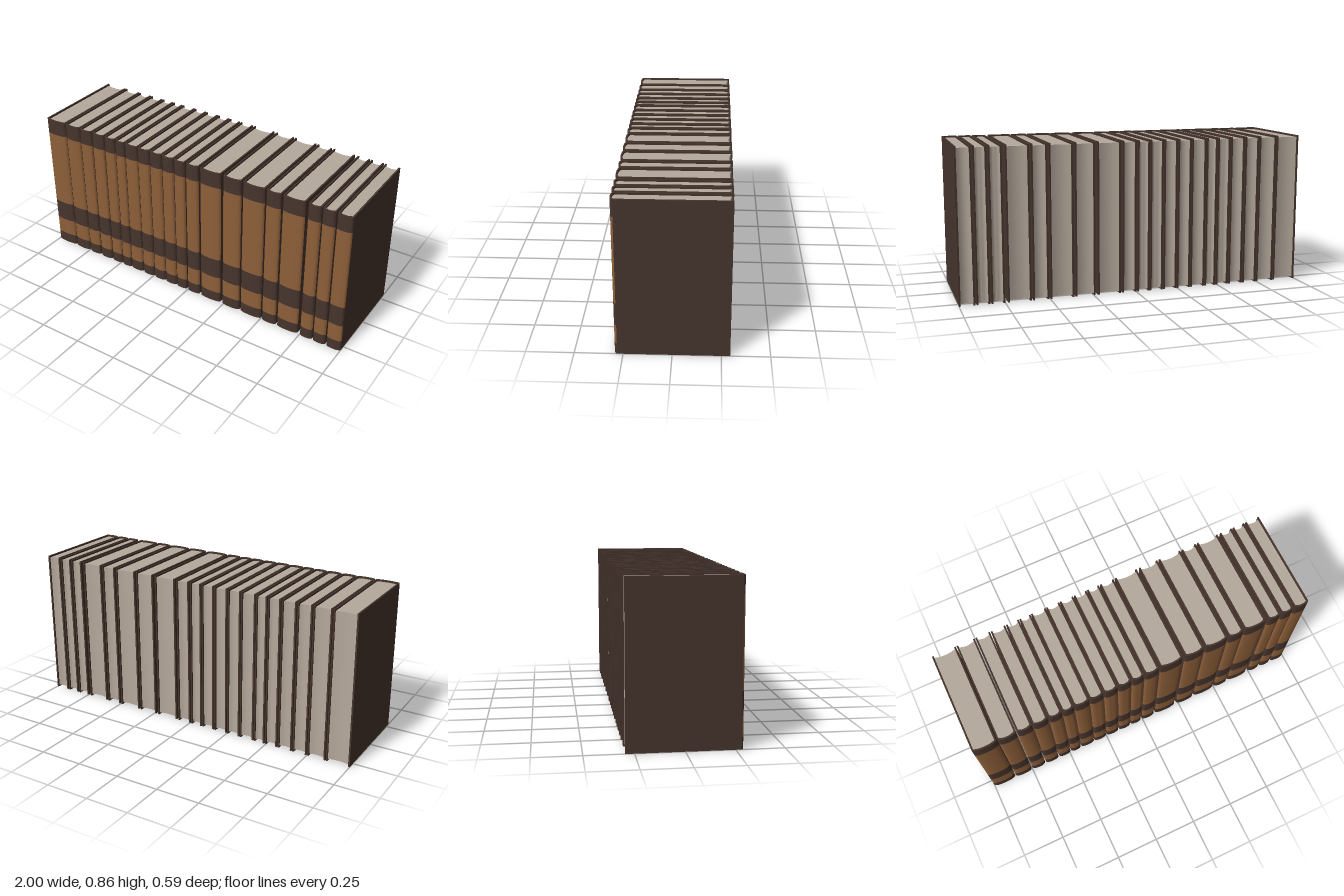
import * as THREE from 'three';
import { toCreasedNormals } from 'three/addons/utils/BufferGeometryUtils.js';

const HEIGHT = 0.862, BOARD = 0.009, BACK = -0.295, HINGE = 0.28, FRONT = 0.295;

// Centre of each gap between neighbouring books, and the gap's width
const EDGES = [-1, -0.86, -0.75, -0.66, -0.57, -0.49, -0.42, -0.33, -0.247, -0.163, -0.082,
  -0.005, 0.086, 0.232, 0.358, 0.501, 0.599, 0.742, 0.828, 0.909, 1];
const GAPS = [0, 0.005, 0.005, 0.006, 0.006, 0.005, 0.004, 0.004, 0.005, 0.005, 0.005,
  0.008, 0.011, 0.015, 0.01, 0.01, 0.01, 0.017, 0.008, 0.008, 0];

// Spine bands, bottom to top: [y0, y1, is leather tan]
const BANDS = [[0, 0.064, false], [0.064, 0.17, true], [0.17, 0.295, false],
  [0.295, 0.77, true], [0.77, HEIGHT, false]];

// Extrude a plan outline (shape y is -z) upwards from y0 to y1
function upright(shape, y0, y1) {
  const g = new THREE.ExtrudeGeometry(shape, { depth: y1 - y0, bevelEnabled: false, curveSegments: 6 });
  g.rotateX(-Math.PI / 2);
  g.translate(0, y0, 0);
  return toCreasedNormals(g, 0.7);
}

// Crescent-shaped plan of a rounded spine, half width w
function spineShape(w) {
  const s = new THREE.Shape(), v = w - BOARD, inner = FRONT - BOARD;
  s.moveTo(-w, -HINGE);
  s.bezierCurveTo(-w, -0.291, -w * 0.5, -FRONT, 0, -FRONT);
  s.bezierCurveTo(w * 0.5, -FRONT, w, -0.291, w, -HINGE);
  s.lineTo(v, -HINGE + 0.004);
  s.quadraticCurveTo(v * 0.6, -inner, 0, -inner);
  s.quadraticCurveTo(-v * 0.6, -inner, -v, -HINGE + 0.004);
  s.closePath();
  return s;
}

// Page block plan: rounded at the spine, hollow at the fore edge
function pageShape(w) {
  const v = w - BOARD, s = new THREE.Shape();
  s.moveTo(-v, -HINGE + 0.004);
  s.quadraticCurveTo(-v * 0.6, -FRONT + BOARD, 0, -FRONT + BOARD);
  s.quadraticCurveTo(v * 0.6, -FRONT + BOARD, v, -HINGE + 0.004);
  s.lineTo(v, 0.287);
  s.quadraticCurveTo(0, 0.268, -v, 0.287);
  s.closePath();
  return s;
}

export function createModel() {
  const mat = (name, color) => {
    const m = new THREE.MeshStandardMaterial({ color });
    m.name = name;
    return m;
  };
  const cover = mat('dark brown cover', 0x46342d);
  const leather = mat('tan leather', 0x8d5f39);
  const paper = mat('paper', 0xb5a99c);

  const row = new THREE.Group();
  row.name = 'bookRow';

  for (let i = 0; i < EDGES.length - 1; i++) {
    const x0 = EDGES[i] + GAPS[i] / 2, x1 = EDGES[i + 1] - GAPS[i + 1] / 2;
    const w = (x1 - x0) / 2;
    const book = new THREE.Group();
    book.name = `book${i + 1}`;
    book.position.x = (x0 + x1) / 2;
    const add = (name, geometry, material) => {
      const m = new THREE.Mesh(geometry, material);
      m.name = name;
      book.add(m);
      return m;
    };

    // Cover boards on both sides
    for (const side of [-1, 1]) {
      const board = add(side < 0 ? 'rightBoard' : 'leftBoard',
        new THREE.BoxGeometry(BOARD, HEIGHT, HINGE - BACK), cover);
      board.position.set(side * (w - BOARD / 2), HEIGHT / 2, (HINGE + BACK) / 2);
    }

    // Rounded spine stacked from coloured bands
    for (const [y0, y1, tan] of BANDS) {
      add(tan ? 'spinePanel' : 'spineBand', upright(spineShape(w), y0, y1), tan ? leather : cover);
    }

    // Pages, slightly shorter than the cover
    add('pages', upright(pageShape(w), 0.01, HEIGHT - 0.01), paper);
    row.add(book);
  }
  return row;
}
